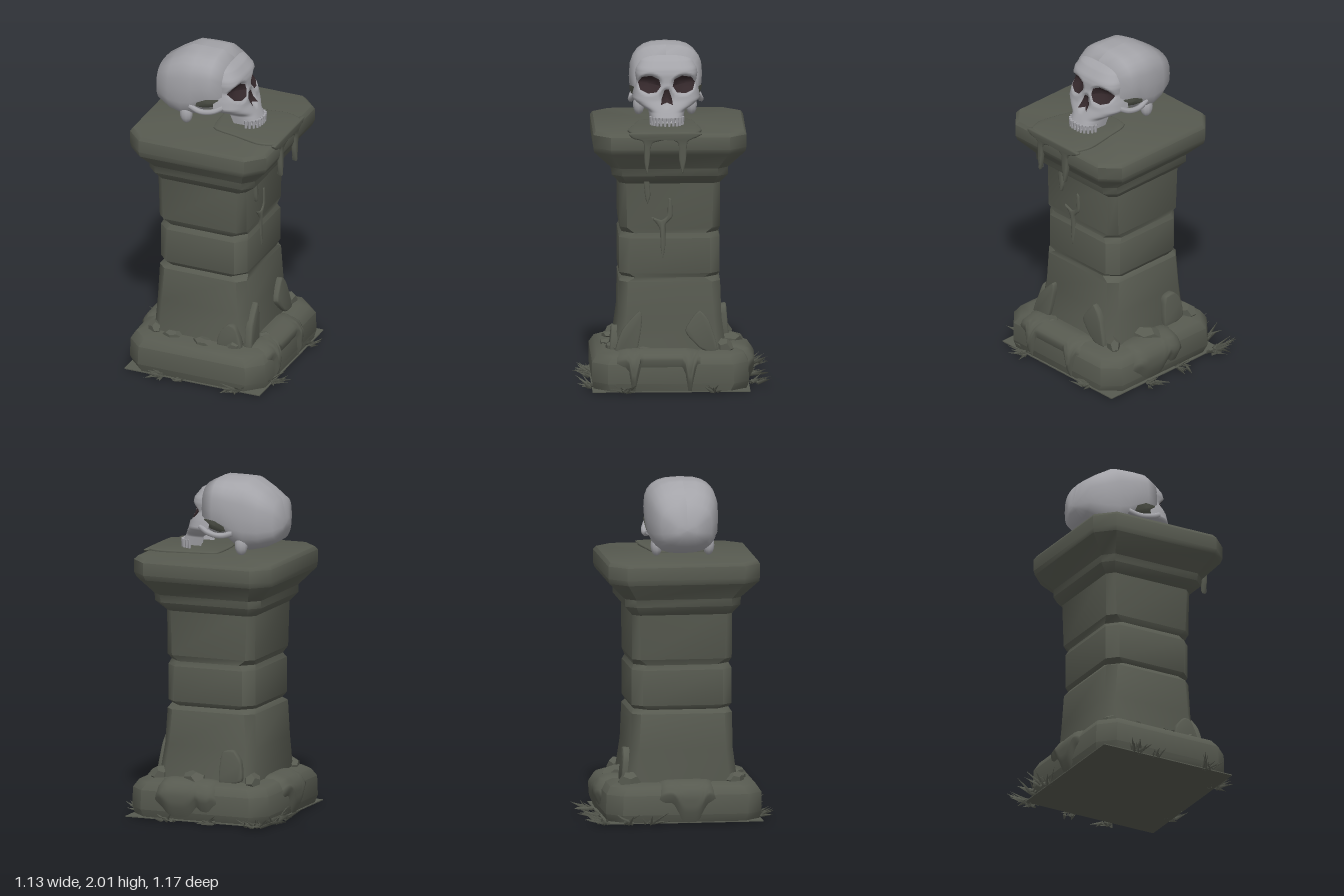
import * as THREE from 'three';
import { toCreasedNormals } from 'three/addons/utils/BufferGeometryUtils.js';

const V = (x, y, z) => new THREE.Vector3(x, y, z);
const paint = (name, color) => new THREE.MeshStandardMaterial({ name, color, side: THREE.DoubleSide });

// Surface through rows of points
function skin(rows) {
  const n = rows[0].length, index = [];
  for (let i = 0; i < rows.length - 1; i++) for (let j = 0; j < n - 1; j++) {
    const a = i * n + j, d = a + n;
    index.push(a, a + 1, d + 1, a, d + 1, d);
  }
  const g = new THREE.BufferGeometry().setFromPoints(rows.flat());
  g.setIndex(index);
  g.computeVertexNormals();
  return g;
}

// Linear lookup in a table of [key, value, value...]
function lookup(table, k, col) {
  let i = 0;
  while (i < table.length - 2 && k > table[i + 1][0]) i++;
  const a = table[i], b = table[i + 1];
  return THREE.MathUtils.lerp(a[col], b[col], THREE.MathUtils.clamp((k - a[0]) / (b[0] - a[0]), 0, 1));
}

// Rectangle with cut corners at height y
function ring([y, x0, x1, z0, z1, c]) {
  const p = [[x0 + c, z1], [x1 - c, z1], [x1, z1 - c], [x1, z0 + c], [x1 - c, z0], [x0 + c, z0], [x0, z0 + c], [x0, z1 - c]];
  return [...p, p[0]].map(([x, z]) => V(x, y, z));
}
const tower = sections => toCreasedNormals(skin(sections.map(ring)), 0.8);

// Bevelled slab from a rounded outline
function slab(points, depth, bevel = 0.008) {
  const curve = new THREE.CatmullRomCurve3(points.map(([x, y]) => V(x, y, 0)), true, 'catmullrom', 0.3);
  const shape = new THREE.Shape(curve.getPoints(points.length * 4).slice(0, -1).map(p => new THREE.Vector2(p.x, p.y)));
  return toCreasedNormals(new THREE.ExtrudeGeometry(shape, {
    depth, bevelEnabled: true, bevelSize: bevel, bevelThickness: bevel, bevelSegments: 2, bevelOffset: -bevel,
  }), 0.9);
}

// Ooze hanging over the base edge; drips are [place, halfWidth, length]
function drape(half, drips, short) {
  const path = [[0, -0.17, 0.235], [0.2, -0.09, 0.25], [0.4, -0.01, 0.225], [0.6, 0.028, 0.17], [1, 0.018, 0.015]];
  const rows = [];
  for (let v = 1; v >= 0; v -= 0.1) {
    const row = [];
    for (let i = 0; i <= 32; i++) {
      const u = i / 16 - 1;
      let len = short;
      for (const [p, w, l] of drips) len = Math.max(len, short + (l - short) * Math.exp(-(((u - p) / w) ** 4)));
      const sink = 0.045 * u ** 6 + 0.025 * Math.max(0, v * 10 - 9), k = v * len;
      row.push(V(u * half, lookup(path, k, 2) - sink, lookup(path, k, 1) - sink));
    }
    rows.push(row);
  }
  return skin(rows);
}

// Cranium sections: x, bottom, top, half width
const CRANIUM = [[-0.332, 1.70, 1.77, 0.06], [-0.305, 1.635, 1.885, 0.15], [-0.22, 1.59, 1.945, 0.188],
  [-0.13, 1.57, 1.998, 0.21], [-0.06, 1.595, 2.0, 0.215], [0, 1.64, 2.0, 0.215], [0.06, 1.65, 2.0, 0.21], [0.13, 1.68, 1.965, 0.185]];
function craniumZ(x, y) {
  const b = lookup(CRANIUM, x, 1), t = lookup(CRANIUM, x, 2);
  const s = Math.min(1, Math.abs((2 * y - b - t) / (t - b)));
  return lookup(CRANIUM, x, 3) * (1 - s ** 2.8) ** (1 / 2.8);
}

// Face sections: y, front x, half width, back x
const FACE = [[1.58, 0.32, 0.098, 0.17], [1.64, 0.288, 0.108, 0.15], [1.67, 0.27, 0.165, 0.1], [1.70, 0.252, 0.2, 0.08], [1.75, 0.24, 0.192, 0.08],
  [1.80, 0.228, 0.178, 0.08], [1.85, 0.225, 0.186, 0.08], [1.88, 0.215, 0.182, 0.08], [1.93, 0.175, 0.16, 0.06], [1.96, 0.12, 0.13, 0.04]];
function faceX(y, dz) {
  const s = Math.min(1, Math.abs(dz) / lookup(FACE, y, 2)), back = lookup(FACE, y, 3);
  const eye = ((Math.abs(dz) - 0.1) / 0.075) ** 2 + ((y - 1.795) / 0.062) ** 2;
  const nose = (dz / 0.042) ** 2 + ((y - 1.72) / 0.06) ** 2;
  return back + (lookup(FACE, y, 1) - back) * (1 - s ** 3) ** (1 / 3)
    - 0.05 * Math.max(0, 1 - eye) - 0.03 * Math.max(0, 1 - nose);
}

// Thin patch laid on a curved surface
function patch(outline, map) {
  const cx = outline.reduce((s, p) => s + p[0], 0) / outline.length, cy = outline.reduce((s, p) => s + p[1], 0) / outline.length;
  return skin([0, 0.25, 0.5, 0.75, 1].map(r => [...outline, outline[0]].map(([a, b]) => map(cx + (a - cx) * r, cy + (b - cy) * r))));
}

export function createModel() {
  const stone = paint('mossy stone', 0x575a50), bone = paint('bone', 0xa4a4a9), dark = paint('socket brown', 0x33272a);
  const model = new THREE.Group();
  let seed = 7;
  const rnd = () => (seed = (seed * 16807) % 2147483647) / 2147483647;
  const add = (name, geo, mat = stone, parent = model) => {
    const m = new THREE.Mesh(geo, mat);
    m.name = name;
    parent.add(m);
    return m;
  };

  // Pedestal
  add('groundPlate', new THREE.BoxGeometry(0.87, 0.006, 0.93)).position.set(0.055, 0.003, 0.015);
  add('base', tower([[0, -0.37, 0.48, -0.43, 0.47, 0.1], [0.05, -0.385, 0.487, -0.445, 0.48, 0.09], [0.165, -0.38, 0.485, -0.44, 0.48, 0.09],
    [0.21, -0.355, 0.455, -0.415, 0.45, 0.09], [0.228, -0.31, 0.41, -0.37, 0.41, 0.08], [0.232, 0.04, 0.06, 0, 0.02, 0.004]]));
  add('shaft', tower([[0.2, -0.265, 0.355, -0.315, 0.35, 0.05], [0.42, -0.255, 0.325, -0.285, 0.32, 0.045], [0.63, -0.245, 0.315, -0.278, 0.318, 0.05],
    [0.655, -0.228, 0.305, -0.262, 0.302, 0.08], [0.68, -0.242, 0.315, -0.276, 0.318, 0.06], [0.89, -0.242, 0.315, -0.276, 0.318, 0.06],
    [0.92, -0.23, 0.305, -0.264, 0.302, 0.075], [0.955, -0.245, 0.313, -0.276, 0.316, 0.045], [1.26, -0.252, 0.315, -0.278, 0.318, 0.04]]));
  add('capital', tower([[1.22, -0.25, 0.315, -0.276, 0.316, 0.04], [1.275, -0.297, 0.38, -0.322, 0.362, 0.06], [1.32, -0.297, 0.385, -0.322, 0.366, 0.06],
    [1.42, -0.388, 0.475, -0.422, 0.468, 0.1], [1.45, -0.392, 0.487, -0.43, 0.472, 0.1], [1.525, -0.392, 0.487, -0.43, 0.472, 0.1],
    [1.545, -0.378, 0.47, -0.415, 0.458, 0.1], [1.548, 0.04, 0.06, 0, 0.02, 0.004]]));

  // Ooze pool on the top and drips down the left face
  const pool = add('oozePool', slab([[0.05, 0.1], [0.2, 0.14], [0.38, 0.165], [0.49, 0.12], [0.493, -0.1], [0.48, -0.24], [0.38, -0.27], [0.22, -0.23], [0.06, -0.18]], 0.01));
  pool.rotation.x = -Math.PI / 2;
  pool.position.y = 1.54;
  const onFace = (name, points, side, dist, depth, tilt = 0) => {
    const m = add(name, slab(points, depth));
    m.rotation.set(tilt, side * Math.PI / 2, 0, 'YXZ');
    m.position.set(dist * Math.sin(side * Math.PI / 2), 0, dist * Math.cos(side * Math.PI / 2));
  };
  onFace('capDrips', [[-0.25, 1.555], [-0.24, 1.52], [-0.18, 1.5], [-0.175, 1.38], [-0.16, 1.31], [-0.145, 1.38], [-0.13, 1.49], [-0.03, 1.515],
    [0.025, 1.49], [0.03, 1.39], [0.05, 1.31], [0.07, 1.39], [0.08, 1.5], [0.14, 1.53], [0.15, 1.555]], 1, 0.475, 0.015);
  onFace('shaftDrip', [[-0.165, 1.34], [-0.175, 1.25], [-0.165, 1.14], [-0.15, 1.1], [-0.135, 1.15], [-0.14, 1.24], [-0.135, 1.33]], 1, 0.31, 0.015);
  onFace('forkedDrip', [[-0.13, 1.02], [-0.08, 0.95], [-0.075, 0.84], [-0.06, 0.77], [-0.045, 0.85], [-0.045, 0.97], [-0.005, 1.02], [-0.008, 1.12],
    [-0.03, 1.13], [-0.035, 1.03], [-0.07, 1.0]], 1, 0.305, 0.008);

  // Ooze over three edges of the base
  const drapes = [['leftOoze', 0.28, [[-0.52, 0.09, 0.97], [0.66, 0.09, 0.98]], 0.58, 1, 0.49, 0.09],
    ['backOoze', 0.2, [[-0.2, 0.5, 0.92], [0.6, 0.2, 0.8]], 0.7, 2, -0.455, 0.11],
    ['rightOoze', 0.18, [[0.1, 0.45, 0.97]], 0.65, 3, -0.385, 0.03]];
  for (const [name, half, drips, short, side, edge, mid] of drapes) {
    const m = add(name, drape(half, drips, short));
    m.rotation.y = side * Math.PI / 2;
    if (side === 2) m.position.set(mid, 0, edge); else m.position.set(edge, 0, mid);
  }

  // Broken slabs and rubble around the foot of the shaft
  onFace('leanSlabA', [[-0.34, 0.22], [-0.3, 0.35], [-0.2, 0.46], [-0.185, 0.4], [-0.22, 0.22]], 1, 0.355, 0.03, -0.08);
  onFace('leanSlabB', [[0.07, 0.34], [0.15, 0.46], [0.21, 0.4], [0.26, 0.23], [0.17, 0.23]], 1, 0.355, 0.03, -0.08);
  onFace('leanSlabC', [[0.17, 0.22], [0.18, 0.3], [0.23, 0.36], [0.28, 0.35], [0.32, 0.22]], 0, 0.35, 0.035, -0.08);
  onFace('leanSlabD', [[0.06, 0.22], [0.07, 0.4], [0.14, 0.42], [0.19, 0.36], [0.2, 0.24]], 2, 0.32, 0.03, -0.08);
  const stones = [[-0.12, 0.37, 0.06, 0.025], [0.08, 0.38, 0.07, 0.018], [0.38, 0.17, 0.05, 0.02], [0.28, 0.36, 0.05, 0.03],
    [-0.25, 0.33, 0.06, 0.045], [-0.26, -0.3, 0.07, 0.06], [0.33, -0.3, 0.06, 0.06], [0.1, -0.33, 0.1, 0.05]];
  for (const [x, z, r, h] of stones) {
    const s = add('rubble', new THREE.DodecahedronGeometry(1));
    s.position.set(x, 0.235, z);
    s.scale.set(r, h, r * 0.7);
    s.rotation.y = rnd() * 3;
  }

  // Grass tufts: x, z, outward angle, blade count, length
  const tufts = [[-0.37, -0.45, -2.4, 12, 0.15], [-0.32, -0.47, -1.5, 7, 0.12], [-0.39, -0.32, -2.7, 6, 0.16], [-0.4, -0.2, 2.9, 8, 0.13],
    [-0.06, -0.47, -1.6, 8, 0.11], [0.2, -0.48, -1.4, 9, 0.12], [0.48, -0.24, -0.2, 10, 0.1], [0.48, 0.28, 0.2, 12, 0.11],
    [0.32, 0.475, 1.5, 12, 0.12], [-0.16, 0.475, 1.7, 12, 0.11], [-0.02, 0.485, 1.6, 5, 0.08]];
  for (const [x, z, angle, count, length] of tufts) {
    const tuft = new THREE.Group();
    tuft.name = 'grassTuft';
    tuft.position.set(x, 0.006, z);
    model.add(tuft);
    for (let i = 0; i < count; i++) {
      const a = angle + (rnd() - 0.5) * 2.2, len = length * (0.6 + 0.4 * rnd());
      const blade = add('blade', new THREE.ConeGeometry(0.013, len, 3).translate(0, len / 2, 0), stone, tuft);
      blade.quaternion.setFromUnitVectors(V(0, 1, 0), V(Math.cos(a), 0.08 + 0.6 * rnd(), Math.sin(a)).normalize());
      blade.position.set((rnd() - 0.5) * 0.07, 0, (rnd() - 0.5) * 0.05);
    }
  }

  // Skull
  const skull = new THREE.Group();
  skull.name = 'skull';
  skull.position.z = 0.035;
  model.add(skull);
  const pw = s => Math.sign(s) * Math.abs(s) ** (2 / 2.8);
  const sections = [[-0.334, 1.734, 1.736, 0.001], ...CRANIUM, [0.135, 1.82, 1.822, 0.001]];
  add('cranium', skin(sections.map(([x, b, t, w]) => Array.from({ length: 25 }, (_, j) => {
    const a = j / 24 * Math.PI * 2;
    return V(x, (b + t) / 2 + (t - b) / 2 * pw(Math.cos(a)), w * pw(Math.sin(a)));
  }))), bone, skull);
  const faceRows = [];
  for (let i = 0; i <= 38; i++) {
    const y = 1.58 + i * 0.01;
    faceRows.push(Array.from({ length: 49 }, (_, j) => {
      const dz = lookup(FACE, y, 2) * Math.cos(j / 48 * Math.PI);
      return V(faceX(y, dz), y, dz);
    }));
  }
  add('face', skin(faceRows), bone, skull);
  const onSkull = (dz, y) => V(faceX(y, dz) + 0.005, y, dz);
  add('noseHole', patch([[-0.035, 1.68], [-0.03, 1.715], [-0.012, 1.765], [0.012, 1.765], [0.03, 1.715], [0.035, 1.68], [0, 1.69]], onSkull), dark, skull);
  for (const s of [1, -1]) {
    add('eyeSocket', patch([[0.035, 1.785], [0.045, 1.825], [0.09, 1.845], [0.145, 1.835], [0.168, 1.8], [0.155, 1.76], [0.11, 1.742], [0.06, 1.75]]
      .map(([z, y]) => [z * s, y]), onSkull), dark, skull);
    add('templeHollow', patch([[-0.03, 1.7], [-0.02, 1.73], [0.04, 1.76], [0.11, 1.765], [0.12, 1.74], [0.08, 1.705], [0.02, 1.69]],
      (x, y) => V(x, y, s * (craniumZ(x, y) + 0.006))), stone, skull);
    const arch = new THREE.CatmullRomCurve3([V(0.14, 1.715, s * 0.185), V(0.08, 1.685, s * 0.205), V(0, 1.672, s * 0.205), V(-0.07, 1.69, s * 0.195)]);
    add('cheekArch', new THREE.TubeGeometry(arch, 12, 0.017, 7), bone, skull);
    const mastoid = add('mastoid', new THREE.SphereGeometry(1, 10, 8), bone, skull);
    mastoid.position.set(-0.11, 1.615, s * 0.155);
    mastoid.scale.set(0.04, 0.06, 0.035);
  }

  // Upper teeth along the jaw
  for (let i = 0; i < 12; i++) {
    const a = (i + 0.5) / 12 * Math.PI, dz = 0.094 * Math.cos(a);
    const tooth = add('tooth', new THREE.CylinderGeometry(0.011, 0.008, 0.05, 6), bone, skull);
    tooth.position.set(faceX(1.585, dz) - 0.003, 1.585, dz);
  }
  return model;
}
